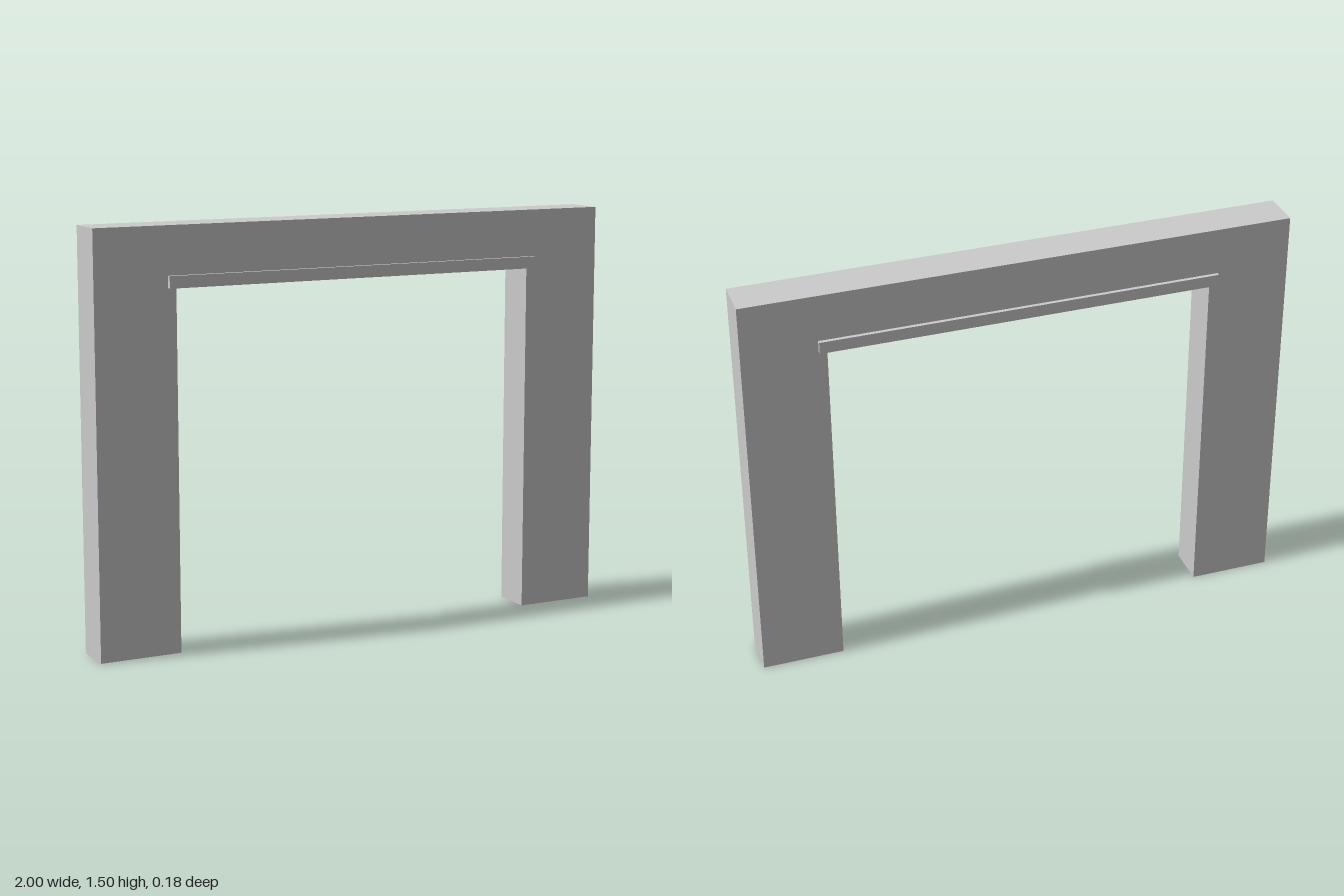
import * as THREE from 'three';

export function createModel() {
  const group = new THREE.Group();
  const material = new THREE.MeshStandardMaterial({ color: 0xcccccc });

  // Box given by its size, centre x and bottom height
  function addBox(name, width, height, depth, x, bottom) {
    const mesh = new THREE.Mesh(new THREE.BoxGeometry(width, height, depth), material);
    mesh.name = name;
    mesh.position.set(x, bottom + height / 2, 0);
    group.add(mesh);
  }

  // Side pillars
  addBox('leftPillar', 0.3, 1.5, 0.148, 0.85, 0);
  addBox('rightPillar', 0.3, 1.5, 0.148, -0.85, 0);

  // Lintel between the pillars
  addBox('lintel', 1.4, 0.2, 0.148, 0, 1.3);

  // Projecting trim along the lintel's lower edge, lapping onto the pillars
  addBox('lintelTrim', 1.46, 0.043, 0.176, 0, 1.285);

  return group;
}
